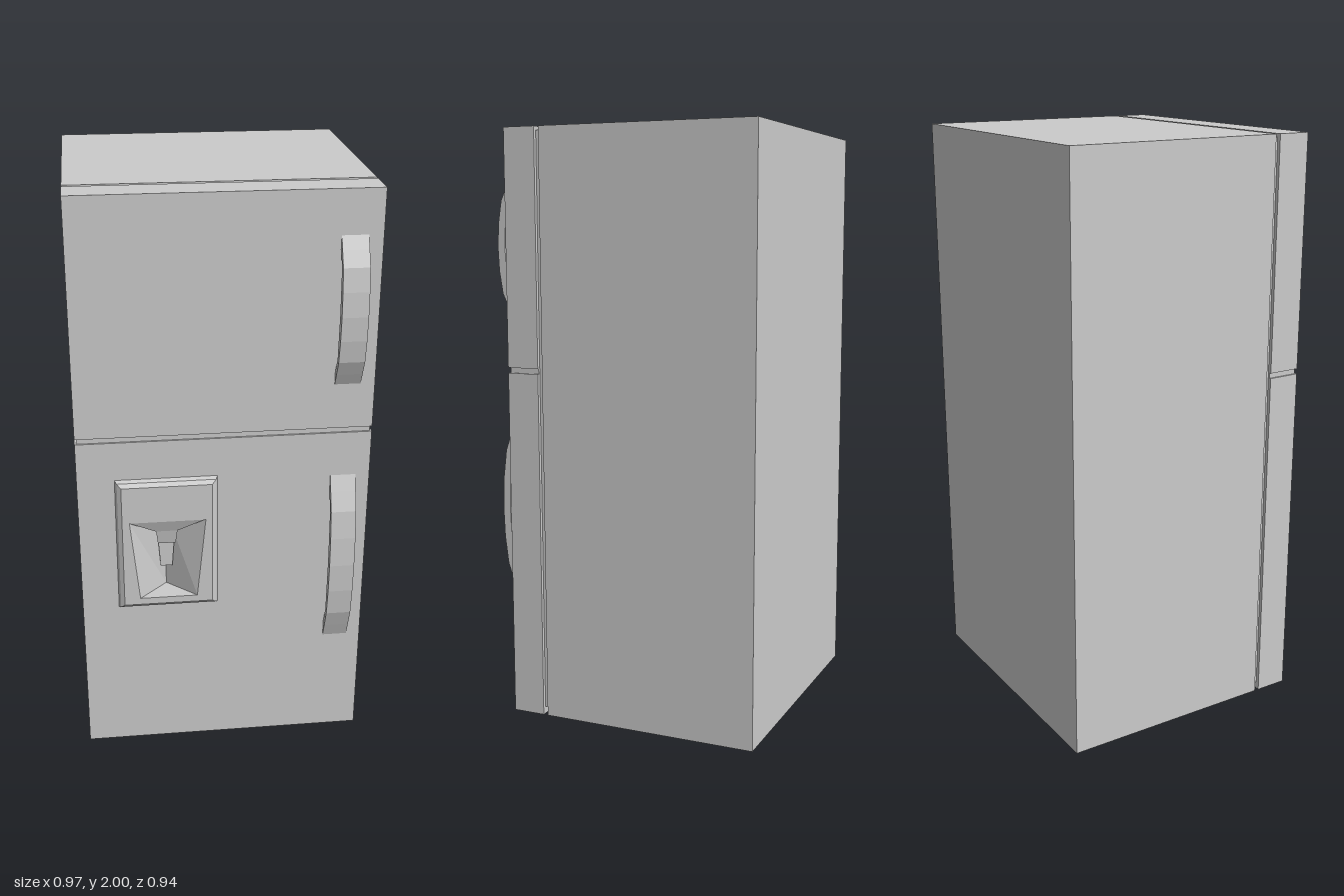
import * as THREE from 'three';

const material = new THREE.MeshStandardMaterial({ color: 0xcccccc });
const flat = new THREE.MeshStandardMaterial({ color: 0xcccccc, flatShading: true, side: THREE.DoubleSide });

const HALF = 0.487;      // half width of the cabinet
const DOOR_BACK = 0.298;
const DOOR_FRONT = 0.412;

function add(group, name, geometry, mat = material) {
  const mesh = new THREE.Mesh(geometry, mat);
  mesh.name = name;
  group.add(mesh);
  return mesh;
}

// Box given by its limits on each axis
function block(x0, x1, y0, y1, z0, z1) {
  return new THREE.BoxGeometry(x1 - x0, y1 - y0, z1 - z0)
    .translate((x0 + x1) / 2, (y0 + y1) / 2, (z0 + z1) / 2);
}

// Faceted skin joining closed rings that have equal numbers of points
function loft(rings) {
  const pos = [];
  for (let r = 0; r + 1 < rings.length; r++) {
    const a = rings[r], b = rings[r + 1], n = a.length;
    for (let i = 0; i < n; i++) {
      const j = (i + 1) % n;
      pos.push(...a[i], ...a[j], ...b[j], ...a[i], ...b[j], ...b[i]);
    }
  }
  const geometry = new THREE.BufferGeometry();
  geometry.setAttribute('position', new THREE.Float32BufferAttribute(pos, 3));
  geometry.computeVertexNormals();
  return geometry;
}

// Counter-clockwise rectangle or trapezoid at depth z
function quad(xb0, xb1, xt0, xt1, y0, y1, z) {
  return [[xb0, y0, z], [xb1, y0, z], [xt1, y1, z], [xt0, y1, z]];
}

// Bowed handle: side profile in (z, y), extruded across x
function handleGeometry(y0, y1) {
  const h = y1 - y0;
  const outer = [[0.41, 0], [0.432, 0.09], [0.455, 0.19], [0.467, 0.34], [0.471, 0.5],
    [0.467, 0.66], [0.455, 0.81], [0.432, 0.91], [0.41, 1]];
  const inner = [[0.41, 0.91], [0.437, 0.8], [0.444, 0.5], [0.437, 0.2], [0.41, 0.09]];
  const shape = new THREE.Shape([...outer, ...inner].map(([z, t]) => new THREE.Vector2(-z, y0 + t * h)));
  return new THREE.ExtrudeGeometry(shape, { depth: 0.085, bevelEnabled: false })
    .rotateY(Math.PI / 2).translate(0.355, 0, 0);
}

export function createModel() {
  const model = new THREE.Group();
  model.name = 'refrigerator';

  // Cabinet, with a recessed seal between it and the doors
  add(model, 'cabinet', block(-HALF, HALF, 0, 2, -0.472, 0.282));
  add(model, 'doorSeal', block(-0.474, 0.474, 0.025, 1.988, 0.28, 0.3));
  add(model, 'doorDivider', block(-HALF + 0.006, HALF - 0.006, 1.18, 1.22, DOOR_BACK, DOOR_FRONT - 0.006));

  // Upper door
  add(model, 'freezerDoor', block(-HALF, HALF, 1.209, 2, DOOR_BACK, DOOR_FRONT));

  // Lower door with an opening for the dispenser niche
  const opening = quad(-0.29, -0.095, -0.32, -0.065, 0.61, 0.905, 0.437);
  const door = new THREE.Shape([[-HALF, 0], [HALF, 0], [HALF, 1.191], [-HALF, 1.191]]
    .map(([x, y]) => new THREE.Vector2(x, y)));
  door.holes.push(new THREE.Path(opening.map(([x, y]) => new THREE.Vector2(x, y)).reverse()));
  add(model, 'lowerDoor', new THREE.ExtrudeGeometry(door, { depth: DOOR_FRONT - DOOR_BACK, bevelEnabled: false })
    .translate(0, 0, DOOR_BACK));

  // Handles
  add(model, 'upperHandle', handleGeometry(1.36, 1.86));
  add(model, 'lowerHandle', handleGeometry(0.39, 1.04));

  // Dispenser: bevelled surround running into a wedge-shaped niche
  const dispenser = new THREE.Group();
  dispenser.name = 'dispenser';
  model.add(dispenser);
  const cx = -0.195, back = 0.345;
  add(dispenser, 'dispenserSurround', loft([
    quad(-0.364, -0.023, -0.364, -0.023, 0.565, 1.056, 0.411),
    quad(-0.357, -0.03, -0.357, -0.03, 0.574, 1.05, 0.428),
    quad(-0.344, -0.043, -0.344, -0.043, 0.586, 1.036, 0.437),
    opening,
  ]), flat);
  add(dispenser, 'dispenserNiche', loft([opening, quad(cx, cx, cx, cx, 0.61, 0.905, back)]), flat);

  // Funnel narrowing from the niche roof to the spout
  const funnelRing = (w, y, z) => [[cx - w, y, z], [cx + w, y, z], [cx, y, back]];
  add(dispenser, 'funnel', loft([
    funnelRing(0.127, 0.905, 0.436),
    funnelRing(0.036, 0.86, 0.42),
    funnelRing(0.03, 0.808, 0.41),
    funnelRing(0, 0.808, back),
  ]), flat);

  // Push lever
  add(dispenser, 'lever', loft([
    quad(cx - 0.02, cx + 0.02, cx - 0.028, cx + 0.028, 0.7, 0.81, back),
    quad(cx - 0.02, cx + 0.02, cx - 0.028, cx + 0.028, 0.7, 0.81, 0.378),
    quad(cx, cx, cx, cx, 0.7, 0.81, 0.378),
  ]), flat);

  return model;
}
